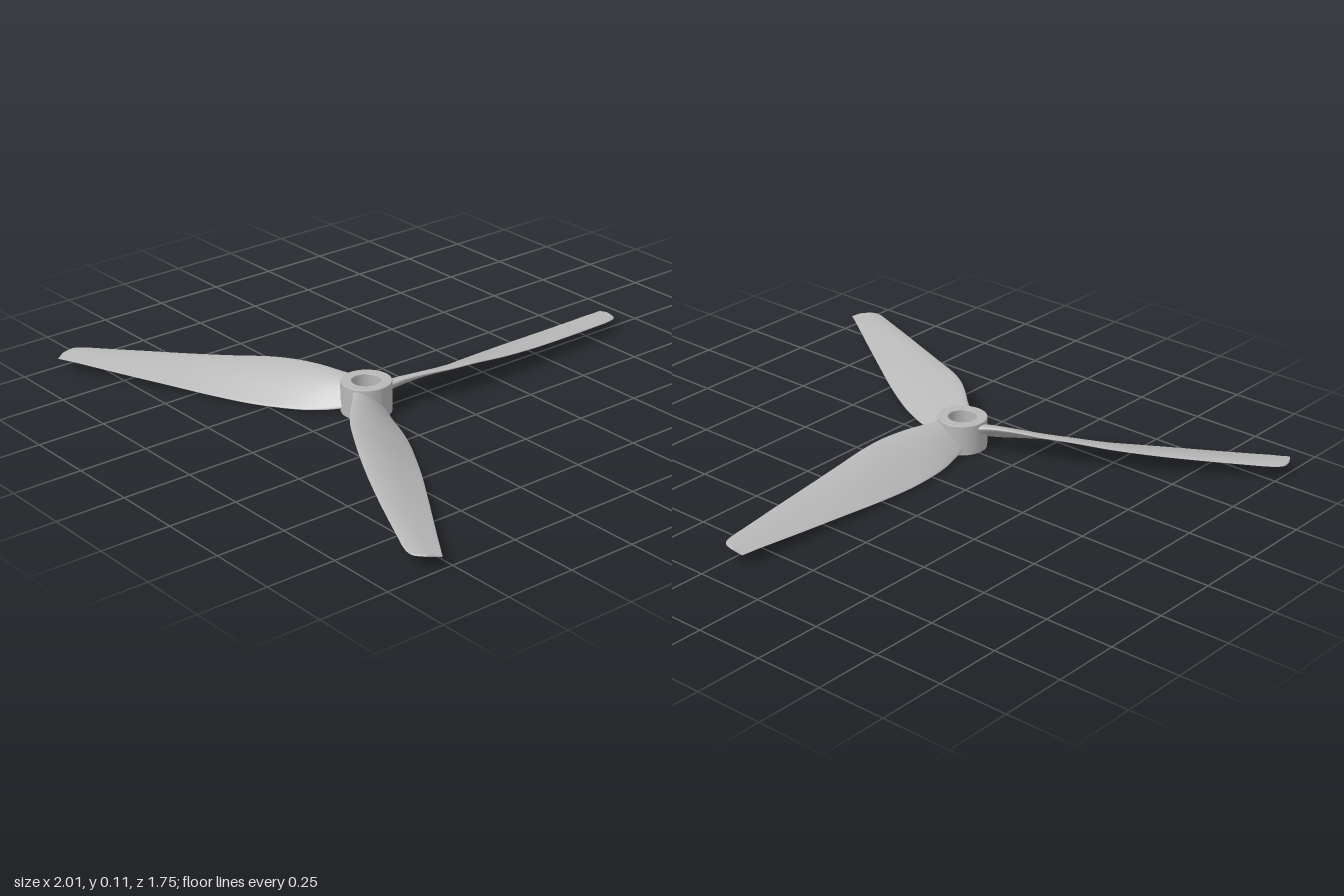
import * as THREE from 'three';

const HUB_X = -0.015, HUB_Z = 0.26;

// Blade stations: radius, trailing edge (offset, height), leading edge (offset, height), thickness
const STATIONS = [
  [0.06, -0.058, 0.024, 0.056, 0.098, 0.036],
  [0.12, -0.070, 0.014, 0.064, 0.104, 0.030],
  [0.20, -0.087, 0.009, 0.083, 0.107, 0.022],
  [0.30, -0.097, 0.008, 0.101, 0.104, 0.017],
  [0.40, -0.098, 0.008, 0.105, 0.098, 0.015],
  [0.54, -0.094, 0.014, 0.102, 0.082, 0.013],
  [0.70, -0.083, 0.022, 0.093, 0.069, 0.011],
  [0.86, -0.071, 0.029, 0.080, 0.060, 0.010],
  [1.00, -0.060, 0.036, 0.066, 0.053, 0.009],
  [1.07, -0.055, 0.040, 0.059, 0.050, 0.008],
  [1.11, -0.052, 0.041, 0.050, 0.049, 0.007],
  [1.13, -0.051, 0.042, 0.034, 0.048, 0.006],
  [1.14, -0.050, 0.042, 0.004, 0.047, 0.005],
];

function bladeGeometry() {
  const curve = (f) => new THREE.CatmullRomCurve3(STATIONS.map(f), false, 'catmullrom', 0.5);
  const trailing = curve((s) => new THREE.Vector3(s[1], s[2], -s[0]));
  const leading = curve((s) => new THREE.Vector3(s[3], s[4], -s[0]));
  const thickness = curve((s) => new THREE.Vector3(s[5], 0, 0));
  const rows = 72, around = 32, positions = [], index = [];

  for (let i = 0; i <= rows; i++) {
    const t = i / rows;
    const a = trailing.getPoint(t), b = leading.getPoint(t), thick = thickness.getPoint(t).x;
    const chord = Math.hypot(b.x - a.x, b.y - a.y);
    const nx = -(b.y - a.y) / chord, ny = (b.x - a.x) / chord;
    for (let j = 0; j < around; j++) {
      // Cambered aerofoil, fuller and rounder at the leading edge
      const angle = (j / around) * Math.PI * 2;
      const c = (1 + Math.cos(angle)) / 2;
      const half = Math.sin(angle) * thick * 0.5 * (0.5 + 0.5 * c) * 1.3;
      const h = half + chord * 0.2 * c * c * (1 - c);
      positions.push(a.x + (b.x - a.x) * c + nx * h, a.y + (b.y - a.y) * c + ny * h, a.z);
    }
  }
  for (let i = 0; i < rows; i++) {
    for (let j = 0; j < around; j++) {
      const p = i * around + j, q = i * around + (j + 1) % around;
      index.push(p, p + around, q, q, p + around, q + around);
    }
  }
  // Close the root and the tip, with the tip ring duplicated for a crisp edge
  for (let j = 1; j < around - 1; j++) index.push(0, j, j + 1);
  const last = rows * around, cap = positions.length / 3;
  positions.push(...positions.slice(last * 3));
  for (let j = 1; j < around - 1; j++) index.push(cap, cap + j + 1, cap + j);

  // Make every triangle face outwards
  const flip = signedVolume(positions, index) < 0;
  if (flip) for (let k = 0; k < index.length; k += 3) [index[k], index[k + 1]] = [index[k + 1], index[k]];

  const geometry = new THREE.BufferGeometry();
  geometry.setAttribute('position', new THREE.Float32BufferAttribute(positions, 3));
  geometry.setIndex(index);
  geometry.computeVertexNormals();
  return geometry;
}

function signedVolume(positions, index) {
  const v = (k) => new THREE.Vector3().fromArray(positions, index[k] * 3);
  let sum = 0;
  for (let k = 0; k < index.length; k += 3) sum += v(k).dot(v(k + 1).cross(v(k + 2)));
  return sum;
}

// Hub ring with a through bore
function hubGeometry() {
  const ring = new THREE.Shape().absarc(0, 0, 0.088, 0, Math.PI * 2, false);
  ring.holes.push(new THREE.Path().absarc(0, 0, 0.05, 0, Math.PI * 2, true));
  const geometry = new THREE.ExtrudeGeometry(ring, {
    depth: 0.107, curveSegments: 32, bevelThickness: 0.003, bevelSize: 0.003,
    bevelOffset: -0.003, bevelSegments: 2, bevelEnabled: true,
  });
  return geometry.rotateX(-Math.PI / 2).translate(0, 0.004, 0);
}

export function createModel() {
  const grey = new THREE.MeshStandardMaterial({ color: 0xb8b8b8 });
  grey.name = 'light grey plastic';

  const propeller = new THREE.Group();
  propeller.name = 'propeller';
  propeller.position.set(HUB_X, 0, HUB_Z);

  const hub = new THREE.Mesh(hubGeometry(), grey);
  hub.name = 'hub';
  propeller.add(hub);

  // Three identical blades around the hub
  const blade = bladeGeometry();
  ['backBlade', 'rightBlade', 'leftBlade'].forEach((name, i) => {
    const mesh = new THREE.Mesh(blade, grey);
    mesh.name = name;
    mesh.rotation.y = (i * Math.PI * 2) / 3;
    propeller.add(mesh);
  });

  const model = new THREE.Group();
  model.name = 'model';
  model.add(propeller);
  return model;
}
